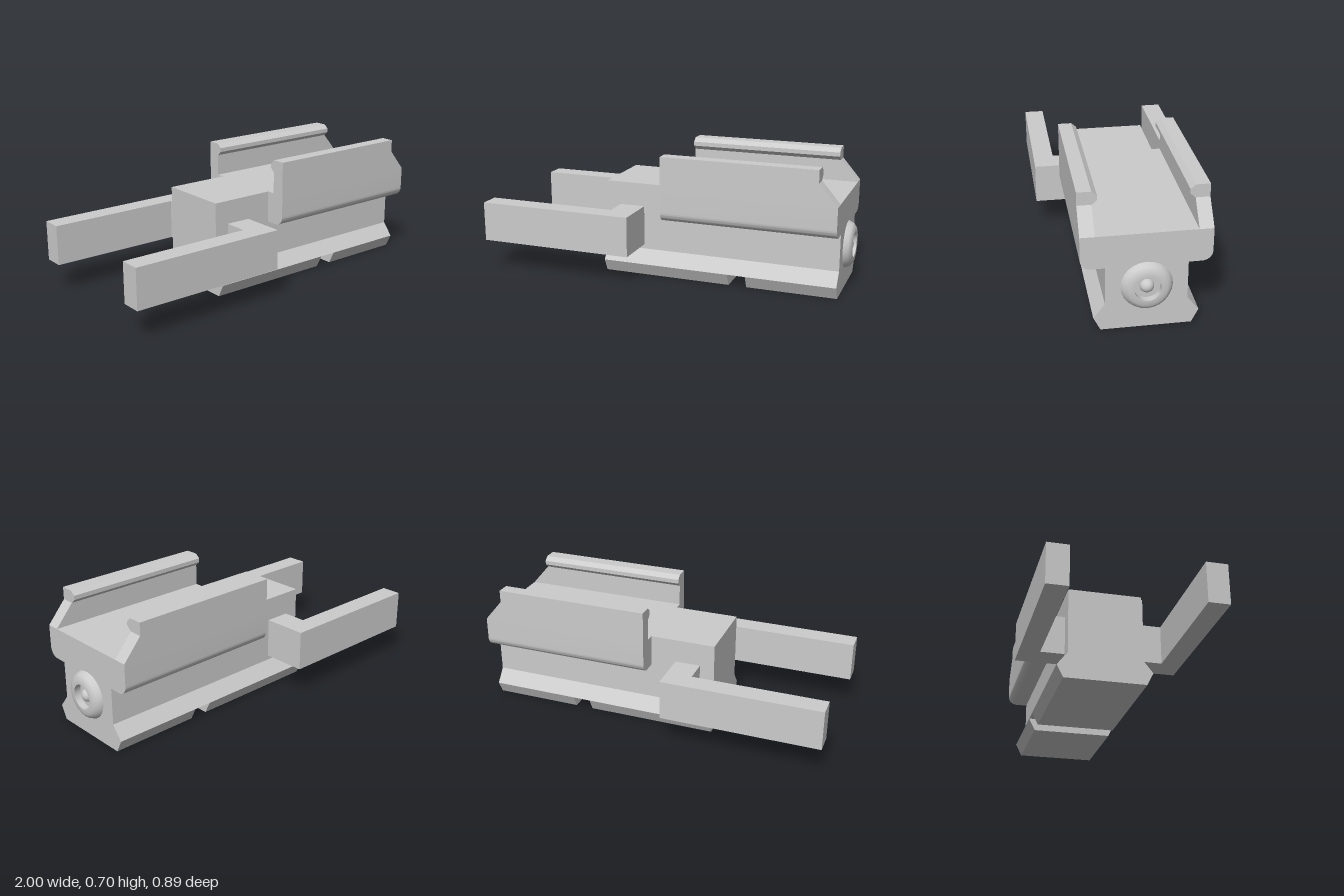
import * as THREE from 'three';
import { toCreasedNormals } from 'three/addons/utils/BufferGeometryUtils.js';

const material = new THREE.MeshStandardMaterial({ color: 0xcccccc });

function addMesh(group, name, geometry) {
  const mesh = new THREE.Mesh(geometry, material);
  mesh.name = name;
  group.add(mesh);
  return mesh;
}

const polygon = (points) => new THREE.Shape(points.map(([a, b]) => new THREE.Vector2(a, b)));

// Sweeps a (z, y) cross-section along x from x0 to x1
function sweepX(shape, x0, x1) {
  const geometry = new THREE.ExtrudeGeometry(shape, { depth: x1 - x0, bevelEnabled: false, curveSegments: 8 });
  geometry.rotateY(Math.PI / 2).translate(x0, 0, 0);
  return toCreasedNormals(geometry, 0.5);
}

// Extrudes an (x, y) outline between two z values
function slabZ(shape, z0, z1) {
  return new THREE.ExtrudeGeometry(shape, { depth: z1 - z0, bevelEnabled: false }).translate(0, 0, z0);
}

function box(x0, x1, y0, y1, z0, z1) {
  return new THREE.BoxGeometry(x1 - x0, y1 - y0, z1 - z0)
    .translate((x0 + x1) / 2, (y0 + y1) / 2, (z0 + z1) / 2);
}

export function createModel() {
  const model = new THREE.Group();
  model.name = 'railMount';
  const back = -0.35, step = 0.01, front = 0.96, top = 0.515;

  // Plain rear half of the body, above the foot
  addMesh(model, 'rearBody', sweepX(polygon([
    [-0.26, 0.07], [0.26, 0.07], [0.202, 0.143], [0.202, top], [-0.202, top], [-0.202, 0.143],
  ]), back, step));

  // Front half with overhanging, rounded shoulders
  const section = new THREE.Shape();
  section.moveTo(-0.26, 0.07);
  section.lineTo(0.26, 0.07);
  section.lineTo(0.202, 0.143);
  section.lineTo(0.202, 0.343);
  section.lineTo(0.268, 0.343);
  section.absarc(0.268, 0.395, 0.052, -Math.PI / 2, 0, false);
  section.lineTo(0.32, top);
  section.lineTo(-0.32, top);
  section.lineTo(-0.32, 0.395);
  section.absarc(-0.268, 0.395, 0.052, Math.PI, Math.PI * 1.5, false);
  section.lineTo(-0.202, 0.343);
  section.lineTo(-0.202, 0.143);
  addMesh(model, 'frontBody', sweepX(section, step, front));

  // Tapered foot, split by a cross slot
  const foot = polygon([[-0.225, 0], [0.225, 0], [0.26, 0.07], [-0.26, 0.07]]);
  addMesh(model, 'rearFoot', sweepX(foot, back, 0.37));
  addMesh(model, 'frontFoot', sweepX(foot, 0.47, front));

  // Side walls with a sloped front corner, hooked lips and L-shaped arms
  const wall = polygon([[step, top], [front, top], [0.86, 0.632], [0.86, 0.7], [step, 0.7]]);
  for (const [side, s] of [['left', -1], ['right', 1]]) {
    const span = (a, b) => (s > 0 ? [a, b] : [-b, -a]);
    addMesh(model, side + 'Wall', slabZ(wall, ...span(0.248, 0.32)));

    const lip = polygon([[0.248, 0.632], [0.222, 0.655], [0.222, 0.678], [0.248, 0.7]]
      .map(([z, y]) => [-s * z, y]));
    addMesh(model, side + 'Lip', sweepX(lip, step, 0.86));

    const arm = new THREE.Group();
    arm.name = side + 'Arm';
    addMesh(arm, 'armBar', box(-1, -0.13, 0.168, 0.387, ...span(0.333, 0.446)));
    addMesh(arm, 'armBracket', box(-0.27, -0.13, 0.168, 0.387, ...span(0.2, 0.333)));
    model.add(arm);
  }

  // Round bezel with a recessed centre, and a small domed lens inside it
  const ring = [[0, 0.004], [0.066, 0.004], [0.066, 0.04], [0.094, 0.04], [0.115, 0.026], [0.128, 0]]
    .map(([r, h]) => new THREE.Vector2(r, h)).reverse();
  const bezel = new THREE.LatheGeometry(ring, 24);
  // Wind the profile so that the faces point outward
  bezel.rotateZ(-Math.PI / 2).translate(front, 0.233, 0);
  addMesh(model, 'bezel', toCreasedNormals(bezel, 0.6)).material =
    new THREE.MeshStandardMaterial({ color: 0xcccccc, side: THREE.DoubleSide });
  addMesh(model, 'lens', new THREE.SphereGeometry(0.036, 20, 12).translate(front, 0.233, 0));

  return model;
}
